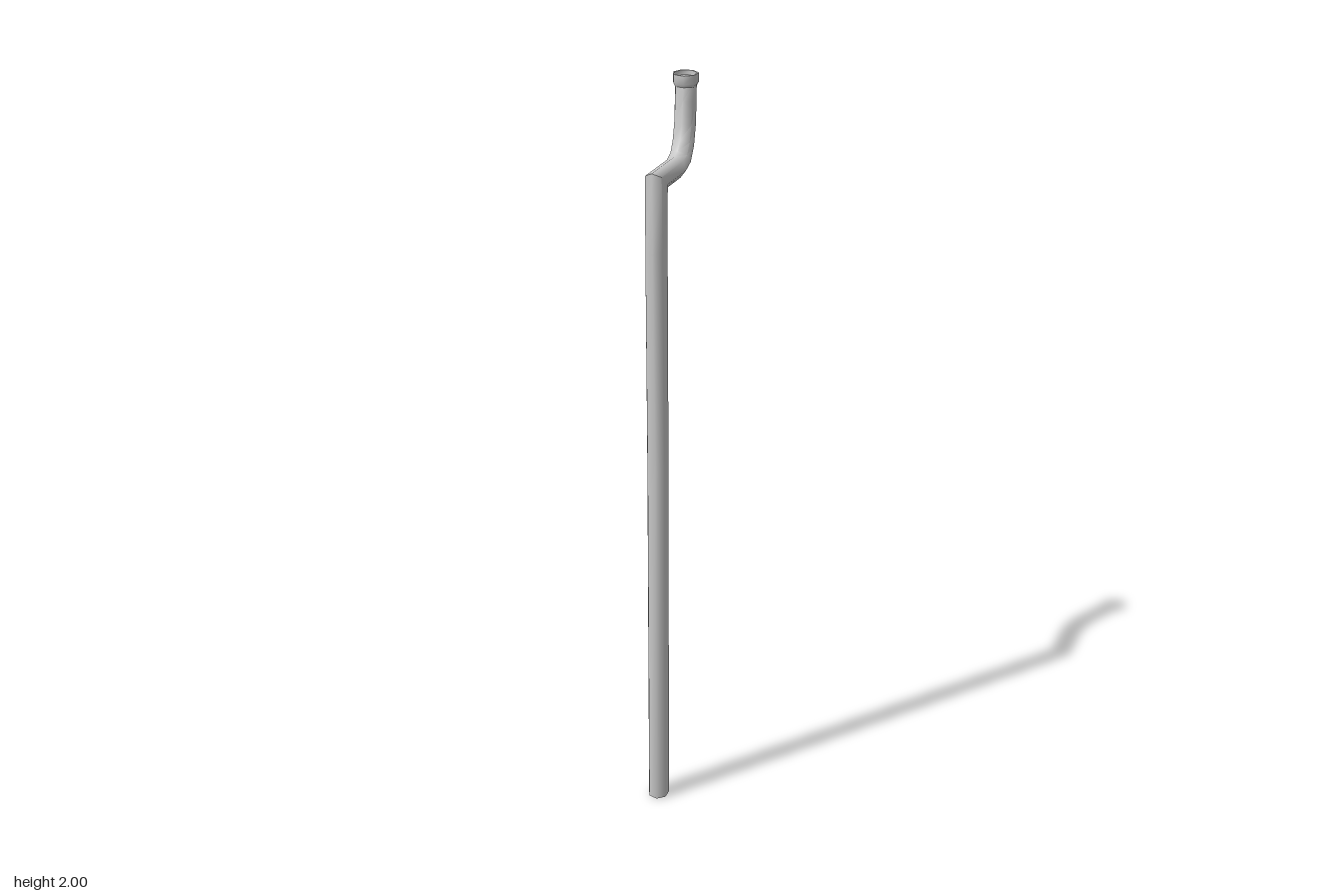
import * as THREE from 'three';
import { toCreasedNormals } from 'three/addons/utils/BufferGeometryUtils.js';

const SIDES = 7;
const rad = THREE.MathUtils.degToRad;

// Sweeps a seven-sided section through rings of
// [x, y, z, lean towards the back in degrees, radius, section turn in degrees, mitre stretch]
// and closes both ends.
function sweep(rings) {
  const pos = [], idx = [];
  for (const [x, y, z, lean, r, turn = 180, stretch = 1] of rings) {
    const t = rad(lean);
    for (let i = 0; i < SIDES; i++) {
      const a = rad(turn) + (i / SIDES) * Math.PI * 2;
      const n = Math.sin(a) * r * stretch;
      pos.push(x + Math.cos(a) * r, y + n * Math.sin(t), z + n * Math.cos(t));
    }
  }
  const last = (rings.length - 1) * SIDES;
  const c0 = pos.length / 3, c1 = c0 + 1;
  pos.push(...rings[0].slice(0, 3), ...rings[rings.length - 1].slice(0, 3));
  for (let i = 0; i < SIDES; i++) {
    const j = (i + 1) % SIDES;
    for (let k = 0; k < last; k += SIDES) {
      const a = k + i, b = k + j, c = a + SIDES, d = b + SIDES;
      idx.push(a, c, b, b, c, d);
    }
    idx.push(c0, i, j, c1, last + j, last + i);
  }
  const g = new THREE.BufferGeometry();
  g.setAttribute('position', new THREE.Float32BufferAttribute(pos, 3));
  g.setIndex(idx);
  return toCreasedNormals(g, 1.0);
}

export function createModel() {
  const group = new THREE.Group();
  group.name = 'bentPipe';
  const material = new THREE.MeshStandardMaterial({ color: 0xcccccc });
  const add = (name, rings) => {
    const mesh = new THREE.Mesh(sweep(rings), material);
    mesh.name = name;
    group.add(mesh);
  };

  // Long upright, mitred elbow, level arm and swept-up neck
  add('pipe', [
    [0.008, 0.004, 0.117, -8, 0.029, 182],
    [0.007, 1.0, 0.117, 0, 0.029, 182],
    [0.005, 1.6, 0.117, 0, 0.029, 190],
    [0.005, 1.78, 0.115, 45, 0.029, 195, Math.SQRT2],
    [0.005, 1.78, -0.015, 88, 0.029, 195],
    [0.003, 1.792, -0.052, 58, 0.029, 192],
    [0.001, 1.825, -0.077, 32, 0.029, 189],
    [-0.001, 1.87, -0.093, 18, 0.029, 186],
    [-0.004, 1.93, -0.106, 11, 0.029, 183],
    [-0.006, 1.975, -0.112, 6, 0.029, 180],
  ]);

  // Flared collar with a shallow recess in its top
  add('collar', [
    [-0.006, 1.967, -0.112, 0, 0.029],
    [-0.006, 1.977, -0.112, 0, 0.0345],
    [-0.006, 2.0, -0.112, 0, 0.0345],
    [-0.006, 2.0, -0.112, 0, 0.030],
    [-0.006, 1.988, -0.112, 0, 0.030],
  ]);

  return group;
}
